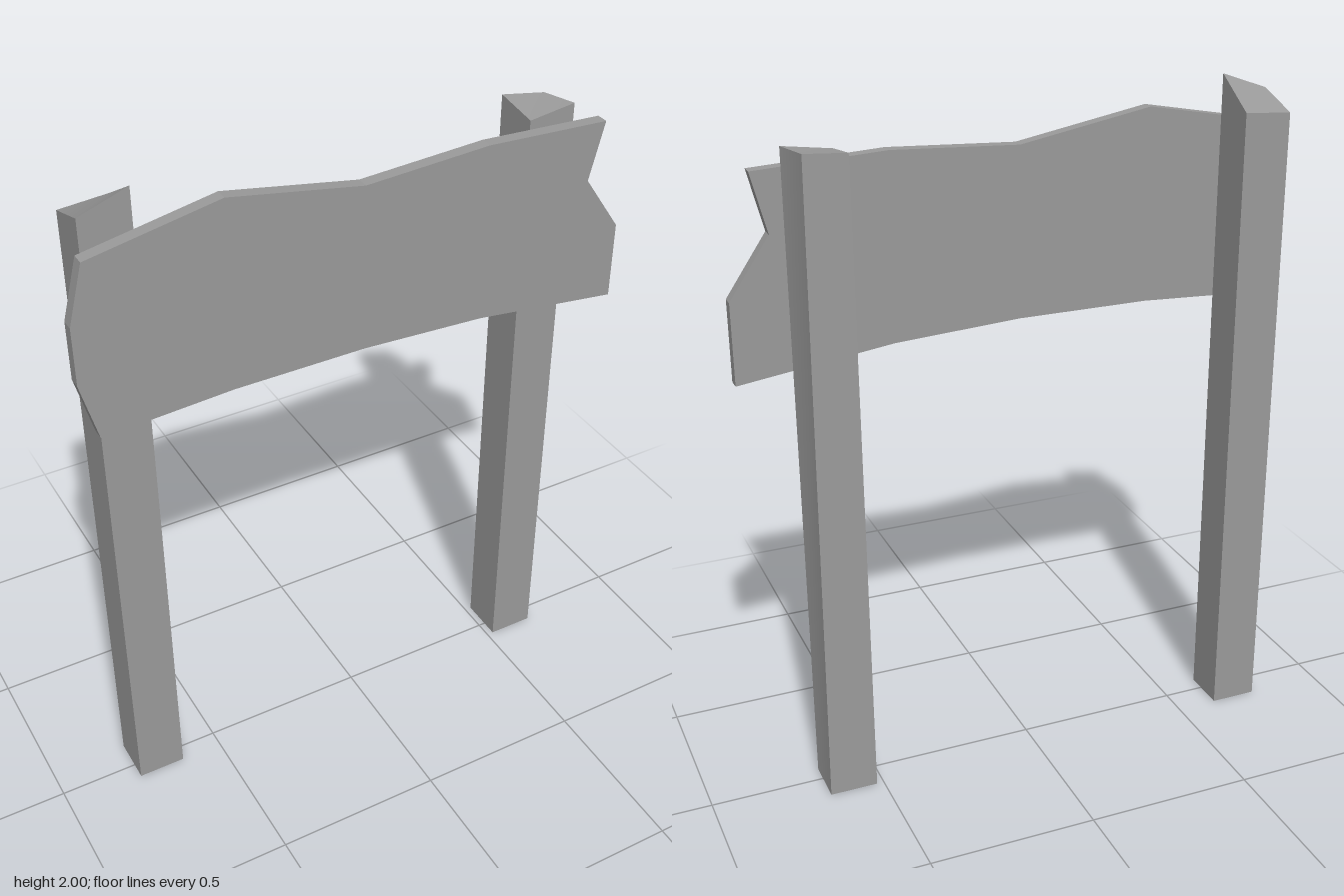
import * as THREE from 'three';

const material = new THREE.MeshStandardMaterial({ color: 0x9a9a9a });
const BACK = -0.088, SEAM = 0.051, FRONT = 0.088;

// Square post from y = 0 whose top corners are moved: each corner is [x, y, z]
function post(name, x0, x1, top) {
  const geometry = new THREE.BoxGeometry(1, 1, 1);
  const pos = geometry.attributes.position;
  for (let i = 0; i < pos.count; i++) {
    const right = pos.getX(i) > 0, front = pos.getZ(i) > 0;
    if (pos.getY(i) > 0) {
      pos.setXYZ(i, ...top[(front ? 'front' : 'back') + (right ? 'Right' : 'Left')]);
    } else {
      pos.setXYZ(i, right ? x1 : x0, 0, front ? SEAM : BACK);
    }
  }
  // Each side keeps its own corners, so slightly twisted sides shade evenly
  geometry.computeVertexNormals();
  const mesh = new THREE.Mesh(geometry, material);
  mesh.name = name;
  return mesh;
}

export function createModel() {
  const group = new THREE.Group();
  group.name = 'woodenSign';

  // Tall post with a sloped cut at the top
  group.add(post('tallPost', -0.767, -0.626, {
    frontLeft: [-0.767, 1.95, SEAM], frontRight: [-0.626, 2, SEAM],
    backLeft: [-0.767, 1.905, BACK], backRight: [-0.626, 1.915, BACK],
  }));

  // Short post with one back corner hewn inwards
  group.add(post('shortPost', 0.521, 0.663, {
    frontLeft: [0.521, 1.893, SEAM], frontRight: [0.663, 1.912, SEAM],
    backLeft: [0.521, 1.912, BACK], backRight: [0.632, 1.91, -0.047],
  }));

  // Weathered board with a notched end
  const outline = [
    [-0.78, 1.334], [-0.4, 1.355], [-0.005, 1.355], [0.37, 1.334], [0.823, 1.275],
    [0.823, 1.51], [0.705, 1.682], [0.748, 1.854], [0.37, 1.874], [-0.005, 1.854],
    [-0.4, 1.925], [-0.78, 1.854], [-0.825, 1.682], [-0.825, 1.51],
  ].map(([x, y]) => new THREE.Vector2(x, y));
  const board = new THREE.Mesh(
    new THREE.ExtrudeGeometry(new THREE.Shape(outline), { depth: FRONT - SEAM, bevelEnabled: false }),
    material,
  );
  board.name = 'board';
  board.position.z = SEAM;
  group.add(board);

  return group;
}
